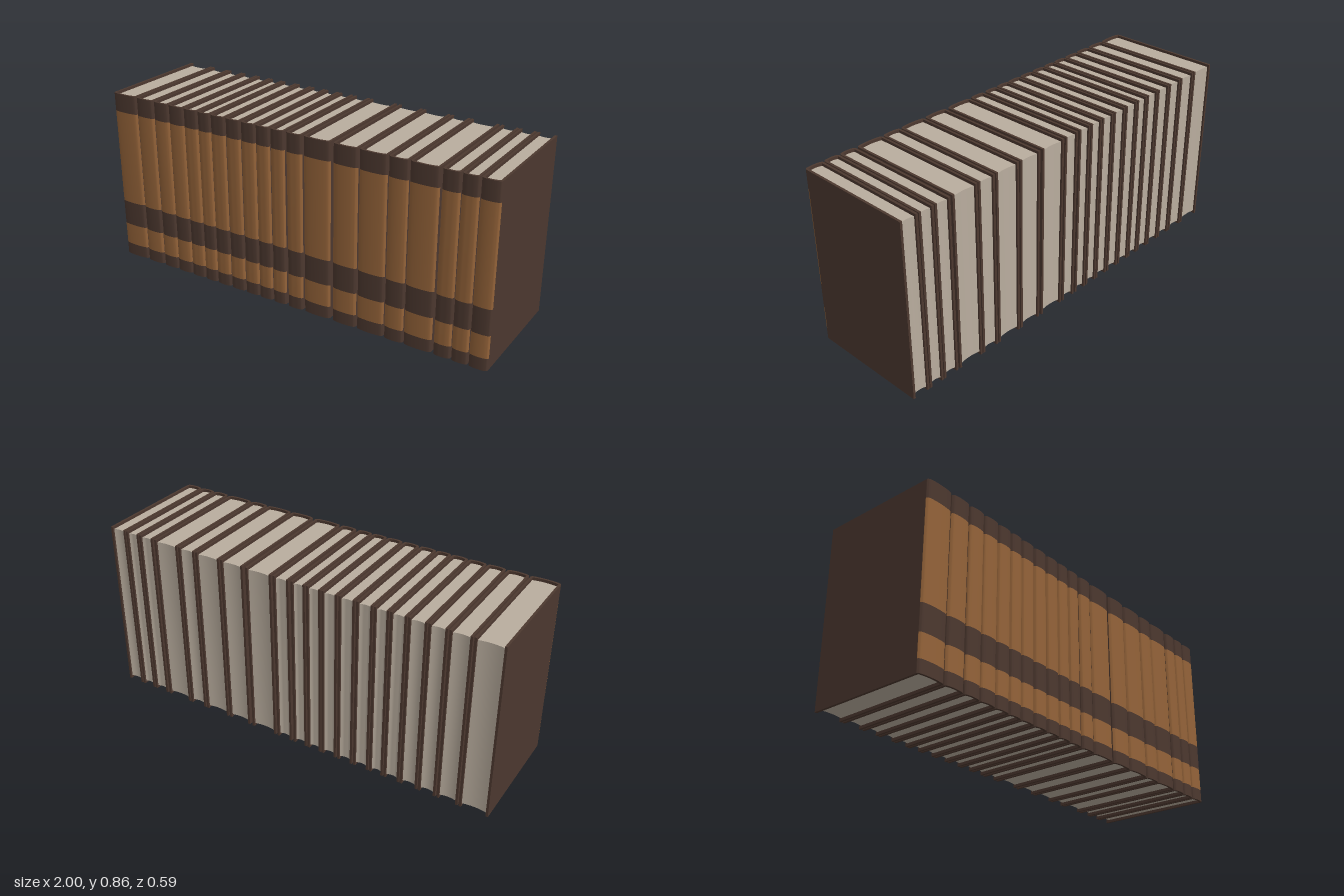
import * as THREE from 'three';
import { toCreasedNormals } from 'three/addons/utils/BufferGeometryUtils.js';

const material = (name, color) => {
  const m = new THREE.MeshStandardMaterial({ color });
  m.name = name;
  return m;
};

const HEIGHT = 0.86, BACK = -0.295, FRONT = 0.295, HINGE = 0.279;
const BOARD = 0.011, LIP = 0.013;

// left and right edge of every book along the row
const BOOKS = [
  [-1, -0.863], [-0.857, -0.757], [-0.75, -0.665], [-0.66, -0.575], [-0.57, -0.493],
  [-0.488, -0.418], [-0.413, -0.335], [-0.328, -0.25], [-0.243, -0.167], [-0.162, -0.09],
  [-0.083, -0.012], [0, 0.08], [0.09, 0.225], [0.24, 0.36], [0.368, 0.5],
  [0.507, 0.598], [0.604, 0.737], [0.748, 0.828], [0.833, 0.908], [0.913, 1],
];

// heights where the spine changes colour, dark band first
const BANDS = [0, 0.06, 0.17, 0.295, 0.77, HEIGHT];

// extrude an outline drawn in (x, -z) upwards from y0 to y1
function upright(shape, y0, y1) {
  const g = new THREE.ExtrudeGeometry(shape, { depth: y1 - y0, bevelEnabled: false, curveSegments: 6 });
  g.rotateX(-Math.PI / 2).translate(0, y0, 0);
  return toCreasedNormals(g, 0.7);
}

// rounded spine shell, thin and open towards the pages
function spineShape(w) {
  const h = w / 2, i = h - BOARD, s = new THREE.Shape();
  s.moveTo(-h, -HINGE);
  s.quadraticCurveTo(-h, -FRONT + 0.006, -h * 0.72, -FRONT + 0.003);
  s.quadraticCurveTo(0, -FRONT - 0.003, h * 0.72, -FRONT + 0.003);
  s.quadraticCurveTo(h, -FRONT + 0.006, h, -HINGE);
  s.lineTo(i, -HINGE);
  s.quadraticCurveTo(0, -FRONT + 0.003, -i, -HINGE);
  s.closePath();
  return s;
}

// page block with a hollow fore edge and a front that follows the spine
function pageShape(w) {
  const i = w / 2 - BOARD, s = new THREE.Shape();
  s.moveTo(-i, -HINGE);
  s.quadraticCurveTo(0, -FRONT + 0.003, i, -HINGE);
  s.lineTo(i, -BACK - 0.009);
  s.quadraticCurveTo(0, -BACK - 0.022, -i, -BACK - 0.009);
  s.closePath();
  return s;
}

export function createModel() {
  const leather = material('dark brown leather', 0x4c382f);
  const tan = material('tan leather', 0x946339);
  const paper = material('paper', 0xb9ad9e);

  const row = new THREE.Group();
  row.name = 'bookRow';

  BOOKS.forEach(([x0, x1], n) => {
    const w = x1 - x0;
    const book = new THREE.Group();
    book.name = `book${n + 1}`;
    book.position.x = (x0 + x1) / 2;
    const add = (name, geometry, mat) => {
      const mesh = new THREE.Mesh(geometry, mat);
      mesh.name = name;
      book.add(mesh);
      return mesh;
    };

    add('pages', upright(pageShape(w), LIP, HEIGHT - LIP), paper);

    // cover boards on both sides
    for (const side of [-1, 1]) {
      const board = add(side < 0 ? 'rightBoard' : 'leftBoard',
        new THREE.BoxGeometry(BOARD, HEIGHT, HINGE - BACK), leather);
      board.position.set(side * (w - BOARD) / 2, HEIGHT / 2, (HINGE + BACK) / 2);
    }

    // spine bands, alternating dark and tan
    const shape = spineShape(w);
    for (let b = 0; b < BANDS.length - 1; b++) {
      add(b % 2 ? 'spinePanel' : 'spineBand', upright(shape, BANDS[b], BANDS[b + 1]), b % 2 ? tan : leather);
    }
    row.add(book);
  });
  return row;
}
